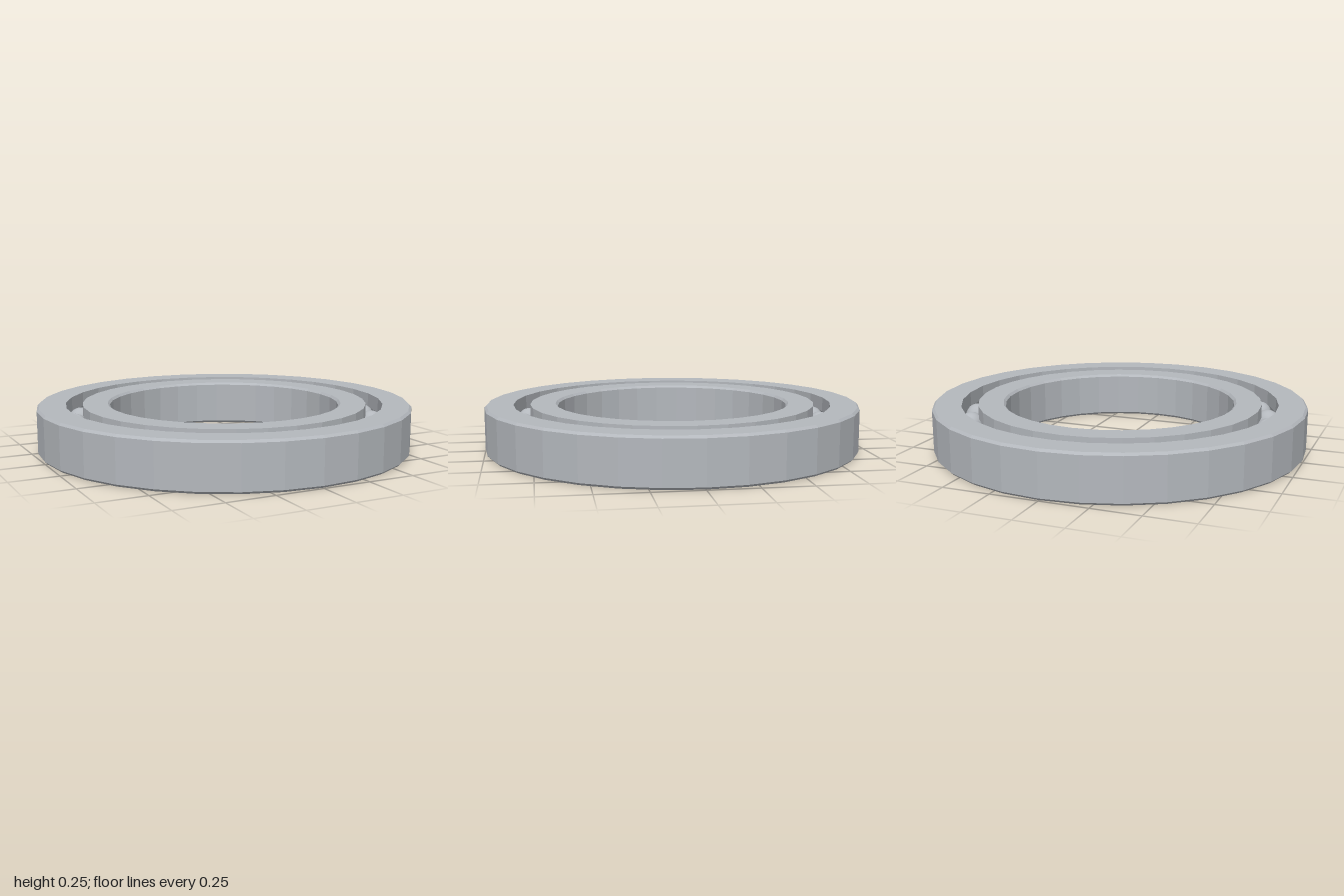
import * as THREE from 'three';

const HEIGHT = 0.245, MID = HEIGHT / 2;
const PITCH = 0.8, BALL = 0.066, BALLS = 27;
const CHAMFER = 0.012, SIDES = 32;

// Points of the ball groove between two radial walls, centred on the pitch circle
function groove(wall, goingUp) {
  const dr = wall - PITCH;
  const half = Math.acos(Math.abs(dr) / BALL);
  const points = [];
  for (let i = 0; i <= 8; i++) {
    const a = half * (i / 4 - 1) * (goingUp ? 1 : -1);
    points.push([PITCH + Math.sign(dr) * BALL * Math.cos(a), MID + BALL * Math.sin(a)]);
  }
  return points;
}

// Closed profile, counter-clockwise in radius and height, turned about y
function ring(name, profile, material) {
  const points = [...profile, profile[0]].map(([r, y]) => new THREE.Vector2(r, y));
  const mesh = new THREE.Mesh(new THREE.LatheGeometry(points, SIDES), material);
  mesh.name = name;
  return mesh;
}

export function createModel() {
  const steel = new THREE.MeshStandardMaterial({ color: 0xb4b8bd, flatShading: true });
  steel.name = 'steel';
  const ballSteel = new THREE.MeshStandardMaterial({ color: 0xb4b8bd });
  ballSteel.name = 'ball steel';

  const model = new THREE.Group();
  model.name = 'ballBearing';

  // Outer race: chamfered rim, grooved inner wall
  const gap = 0.848;
  model.add(ring('outerRace', [
    [gap, 0], [1 - CHAMFER, 0], [1, CHAMFER],
    [1, HEIGHT - CHAMFER], [1 - CHAMFER, HEIGHT], [gap, HEIGHT],
    ...groove(gap, false),
  ], steel));

  // Inner race: grooved outer wall, chamfered bore
  const wall = 0.76, bore = 0.615;
  model.add(ring('innerRace', [
    [bore + CHAMFER, 0], [wall, 0],
    ...groove(wall, true),
    [wall, HEIGHT], [bore + CHAMFER, HEIGHT],
    [bore, HEIGHT - CHAMFER], [bore, CHAMFER],
  ], steel));

  // Balls evenly spaced on the pitch circle, the first on +x
  const balls = new THREE.Group();
  balls.name = 'balls';
  const ballGeometry = new THREE.SphereGeometry(BALL, 24, 16);
  for (let i = 0; i < BALLS; i++) {
    const a = (i / BALLS) * Math.PI * 2;
    const ball = new THREE.Mesh(ballGeometry, ballSteel);
    ball.name = 'ball';
    ball.position.set(PITCH * Math.cos(a), MID, PITCH * Math.sin(a));
    balls.add(ball);
  }
  model.add(balls);
  return model;
}
